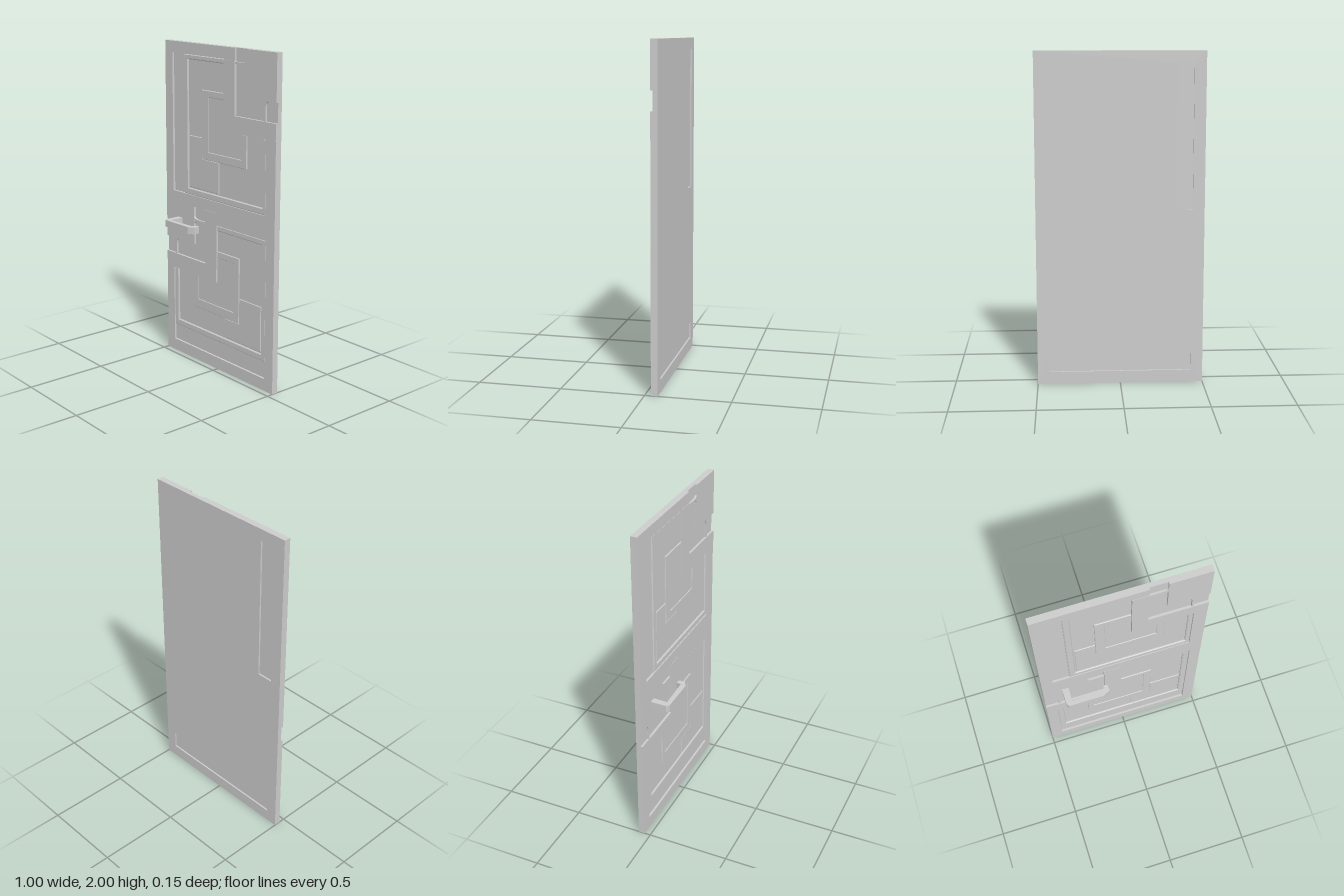
import * as THREE from 'three';

const FRONT = -0.037, FIELD = -0.05, BACK_FIELD = -0.067, BACK = -0.077;

export function createModel() {
  const door = new THREE.Group();
  door.name = 'door';
  const material = new THREE.MeshStandardMaterial({ color: 0xcccccc, flatShading: true });

  const toShape = (pts) => new THREE.Shape(pts.map(([x, y]) => new THREE.Vector2(x, y)));
  const rect = (x0, y0, x1, y1) => [[x0, y0], [x1, y0], [x1, y1], [x0, y1]];

  // Flat plate from an outline, spanning z0..z1, with an optional chamfered front edge
  function plate(name, outline, z0, z1, holes = [], bevel = 0) {
    const shape = outline instanceof THREE.Shape ? outline : toShape(outline);
    for (const h of holes) shape.holes.push(toShape(h));
    const geo = new THREE.ExtrudeGeometry(shape, {
      depth: z1 - z0 - bevel, bevelEnabled: bevel > 0, bevelSize: bevel,
      bevelThickness: bevel, bevelOffset: -bevel, bevelSegments: 1, curveSegments: 8,
    });
    geo.translate(0, 0, z0);
    const mesh = new THREE.Mesh(geo, material);
    mesh.name = name;
    door.add(mesh);
    return mesh;
  }

  // Open square band whose two ends stop at the corner bracket (cx, cy)
  // Sides are given as [far x, bottom y, near x, top y]
  function band(name, [cx, cy], [fx, by, nx, ty], [ifx, iby, inx, ity], z1, bevel) {
    plate(name, [
      [cx, ty], [fx, ty], [fx, by], [nx, by], [nx, cy],
      [inx, cy], [inx, iby], [ifx, iby], [ifx, ity], [cx, ity],
    ], FIELD, z1, [], bevel);
  }

  // Slab core and the back skin with its two long recesses
  plate('core', rect(-0.5, 0, 0.5, 2), BACK_FIELD, FIELD);
  plate('backSkin', rect(-0.5, 0, 0.5, 2), BACK, BACK_FIELD,
    [rect(-0.43, 1.07, -0.33, 1.93), rect(-0.43, 0.075, 0.43, 0.18)]);

  // Front frame with the corner channels cut in from the edges
  plate('frontFrame', [
    [-0.5, 0], [0.5, 0], [0.5, 1.61], [0.15, 1.61], [0.15, 2], [-0.5, 2],
    [-0.5, 0.76], [-0.225, 0.76], [-0.225, 1], [-0.115, 1], [-0.115, 0.66], [-0.5, 0.66],
  ], FIELD, FRONT, [
    [[-0.43, 1.07], [0.42, 1.07], [0.42, 1.51], [0.055, 1.51], [0.055, 1.93], [-0.43, 1.93]],
    [[-0.43, 0.075], [0.43, 0.075], [0.43, 0.925], [-0.01, 0.925], [-0.01, 0.565], [-0.43, 0.565]],
  ]);
  plate('cornerBlock', rect(0.255, 1.725, 0.5, 2), FIELD, FRONT);

  // Slightly raised corner brackets
  plate('upperBracket', [[0.055, 1.51], [0.5, 1.51], [0.5, 1.61], [0.15, 1.61], [0.15, 1.93], [0.055, 1.93]],
    FRONT, FRONT + 0.002);
  plate('lowerBracket', [[-0.01, 0.565], [-0.01, 1], [-0.115, 1], [-0.115, 0.66], [-0.43, 0.66], [-0.43, 0.565]],
    FRONT, FRONT + 0.002);

  // Panel mouldings, nested square bands, centre and corner panels
  const panels = [
    {
      side: 'upper', clip: [0.055, 1.51],
      moulding: [[-0.325, 1.07, 0.42, 1.93], [-0.285, 1.11, 0.39, 1.9]],
      square: [[-0.155, 1.31, 0.25, 1.73], [-0.095, 1.36, 0.205, 1.69]],
      corner: [[-0.278, 1.117], [0, 1.117], [0, 1.31], [-0.155, 1.31], [-0.155, 1.44], [-0.278, 1.44]],
    },
    {
      side: 'lower', clip: [-0.01, 0.565],
      moulding: [[0.43, 0.18, -0.43, 0.925], [0.39, 0.22, -0.39, 0.89]],
      square: [[0.19, 0.35, -0.23, 0.76], [0.14, 0.41, -0.19, 0.72]],
      corner: [[0.055, 0.227], [0.383, 0.227], [0.383, 0.51], [0.19, 0.51], [0.19, 0.35], [0.055, 0.35]],
    },
  ];
  for (const p of panels) {
    const [cx, cy] = p.clip;
    band(p.side + 'Moulding', p.clip, ...p.moulding, -0.04, 0.005);
    band(p.side + 'SquareBand', p.clip, ...p.square, -0.043, 0.003);
    const [fx, by, nx, ty] = p.square[1];
    plate(p.side + 'CentrePanel', [[cx, ty], [fx, ty], [fx, by], [nx, by], [nx, cy], [cx, cy]],
      FIELD, -0.0465);
    plate(p.side + 'CornerPanel', p.corner, FIELD, -0.045, [], 0.003);
  }

  // Narrow flared ribs that bridge the channels
  function rib(name, x, y, length, angle) {
    const s = new THREE.Shape();
    s.moveTo(-0.022, 0);
    s.quadraticCurveTo(-0.006, -0.005, -0.006, -0.04);
    s.lineTo(-0.006, -length);
    s.lineTo(0.006, -length);
    s.lineTo(0.006, -0.04);
    s.quadraticCurveTo(0.006, -0.005, 0.022, 0);
    s.closePath();
    const mesh = plate(name, s, FIELD, FRONT - 0.001);
    mesh.position.set(x, y, 0);
    mesh.rotation.z = angle;
  }
  rib('upperSideRib', 0.405, 1.725, 0.115, 0);
  rib('upperTopRib', 0.255, 1.915, 0.105, -Math.PI / 2);
  rib('lowerSideRib', -0.41, 0.76, 0.1, 0);
  rib('lowerTopRib', -0.225, 0.915, 0.11, Math.PI / 2);

  // Lever handle, outlined from above
  const handle = plate('handle', [
    [-0.383, FRONT], [-0.383, 0.06], [-0.37, 0.077], [-0.15, 0.077], [-0.11, 0.055],
    [-0.11, 0.018], [-0.135, 0.011], [-0.146, 0.043], [-0.345, 0.05], [-0.341, FRONT],
  ], 0, 0.042);
  handle.geometry.rotateX(Math.PI / 2);
  handle.position.y = 0.906;

  return door;
}
